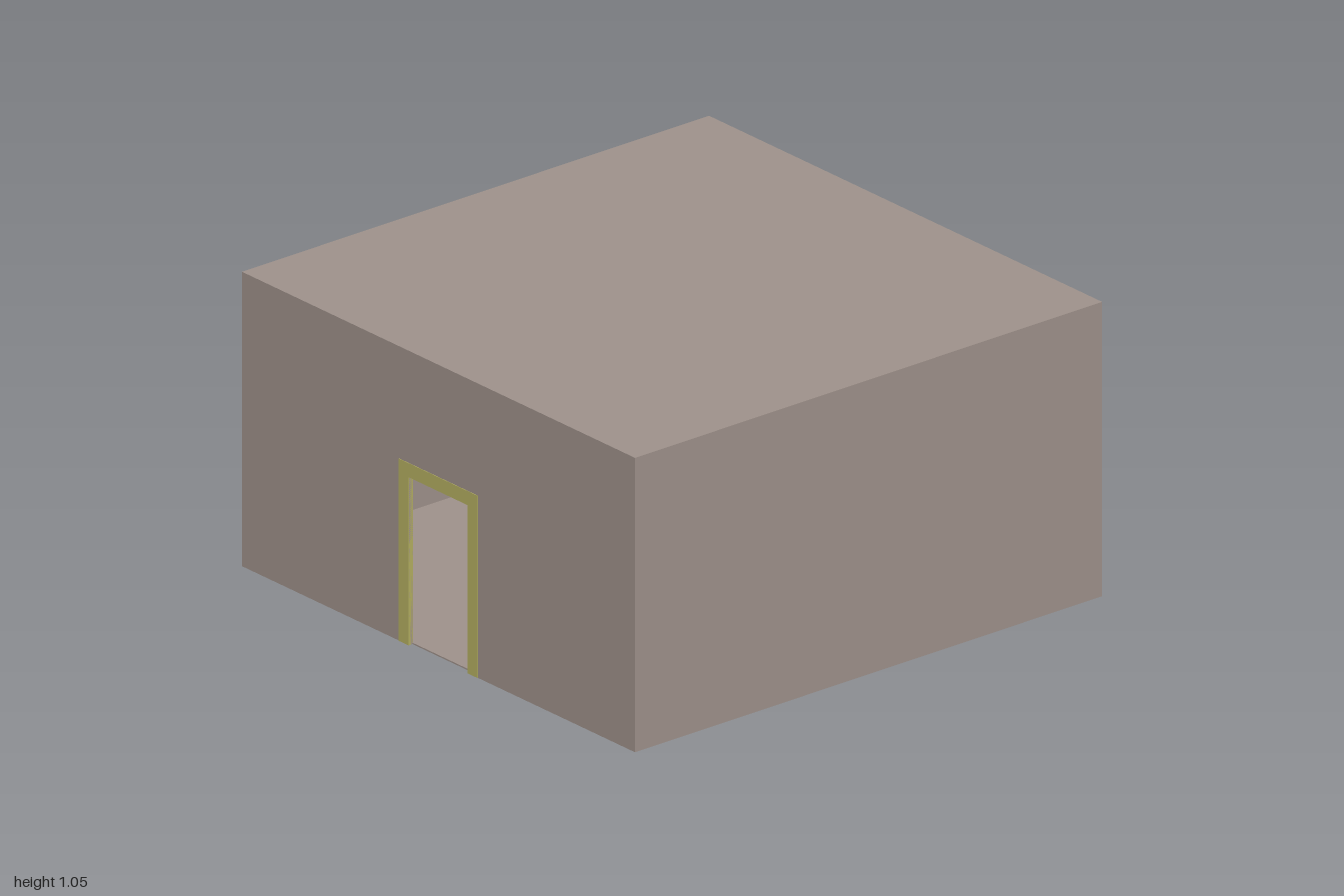
import * as THREE from 'three';

const WALL = new THREE.MeshStandardMaterial({ color: 0xa0938c });
const TRIM = new THREE.MeshStandardMaterial({ color: 0xb5b062 });
const GREY = new THREE.MeshStandardMaterial({ color: 0xcccccc });

const H = 1.05;      // room height
const T = 0.015;     // wall thickness
const DOOR_W = 0.3, DOOR_H = 0.6, TRIM_W = 0.05;

// Box given by its minimum and maximum corners
function box(name, min, max, material) {
  const size = max.map((v, i) => v - min[i]);
  const mesh = new THREE.Mesh(new THREE.BoxGeometry(...size), material);
  mesh.position.set(...max.map((v, i) => (v + min[i]) / 2));
  mesh.name = name;
  return mesh;
}

// Arch-like outline: a rectangle with a doorway cut up from its lower edge
function portal(name, halfWidth, height, depth, material) {
  const d = DOOR_W / 2;
  const points = [
    [-halfWidth, 0], [-d, 0], [-d, DOOR_H], [d, DOOR_H], [d, 0],
    [halfWidth, 0], [halfWidth, height], [-halfWidth, height],
  ].map(([x, y]) => new THREE.Vector2(x, y));
  const geometry = new THREE.ExtrudeGeometry(new THREE.Shape(points), { depth, bevelEnabled: false });
  const mesh = new THREE.Mesh(geometry, material);
  mesh.name = name;
  return mesh;
}

// Wall with a doorway and its trim, outer face toward +z
function doorWall(name) {
  const group = new THREE.Group();
  group.name = name;
  const wall = portal('doorwayWall', 1 - T, H, T, WALL);
  wall.position.z = 0.998 - T;
  const trim = portal('doorFrame', DOOR_W / 2 + TRIM_W, DOOR_H + TRIM_W, T + 0.004, TRIM);
  trim.position.z = 1 - T - 0.004;
  group.add(wall, trim);
  return group;
}

// Small table with a stool beside it
function furniture() {
  const group = new THREE.Group();
  group.name = 'furniture';
  group.add(box('stool', [0.08, 0.005, -0.05], [0.14, 0.08, 0.05], GREY));
  group.add(box('tableTop', [0.1, 0.08, -0.3], [0.5, 0.092, -0.1], GREY));
  for (const x of [0.17, 0.48])
    for (const z of [-0.28, -0.12])
      group.add(box('tableLeg', [x - 0.01, 0.005, z - 0.01], [x + 0.01, 0.08, z + 0.01], GREY));
  return group;
}

export function createModel() {
  const model = new THREE.Group();
  model.name = 'room';

  // Shell
  model.add(box('floor', [-1 + T, 0, -0.998 + T], [1 - T, 0.005, 0.998 - T], WALL));
  model.add(box('roof', [-1 + T, H - T, -0.998 + T], [1 - T, H, 0.998 - T], WALL));
  for (const s of [-1, 1])
    model.add(box(s > 0 ? 'leftWall' : 'rightWall',
      [s > 0 ? 1 - T : -1, 0, -0.998], [s > 0 ? 1 : -1 + T, H, 0.998], WALL));

  // Matching doorways front and back
  const back = doorWall('backWall');
  back.rotation.y = Math.PI;
  model.add(doorWall('frontWall'), back);

  model.add(furniture());
  return model;
}
